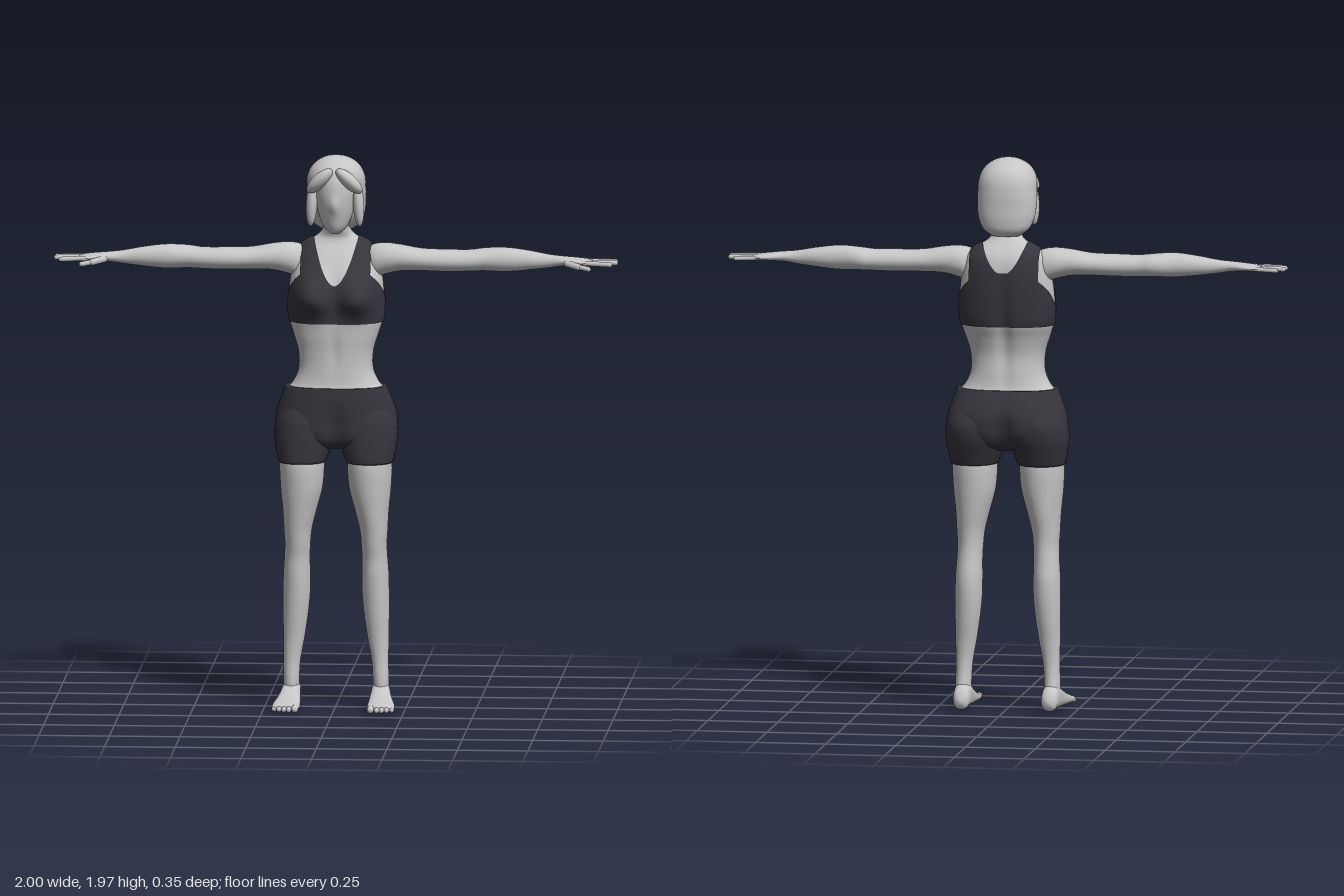
import * as THREE from 'three';
import { mergeGeometries } from 'three/addons/utils/BufferGeometryUtils.js';

const skin = new THREE.MeshStandardMaterial({ color: 0xc6c6c6 });
skin.name = 'pale grey skin';
const fabric = new THREE.MeshStandardMaterial({ color: 0x36353c, side: THREE.DoubleSide });
fabric.name = 'charcoal fabric';

// Which coordinates the two cross-section directions use for each loft axis
const AXES = { x: [0, 2, 1], y: [1, 0, 2], z: [2, 1, 0] };
const bump = (d, s) => Math.exp(-(d * d) / (2 * s * s));

// Smooth closed loft; each section is [position, aMin, aMax, bMin, bMax]
function loft(axis, sections, { power = 2, rows = 60, seg = 40, warp } = {}) {
  const [T, A, B] = AXES[axis];
  const curve = new THREE.CubicInterpolant(sections.map(s => s[0]), sections.flatMap(s => s.slice(1)), 4);
  const t0 = sections[0][0], t1 = sections[sections.length - 1][0];
  const pos = [], index = [];
  const round = c => Math.sign(c) * Math.pow(Math.abs(c), 2 / power);
  const add = (t, a, b) => {
    const p = [0, 0, 0];
    p[T] = t; p[A] = a; p[B] = b;
    if (warp) warp(p);
    pos.push(...p);
  };
  for (let i = 0; i <= rows; i++) {
    const t = t0 + (t1 - t0) * i / rows;
    const [a0, a1, b0, b1] = curve.evaluate(t);
    for (let j = 0; j < seg; j++) {
      const w = j / seg * Math.PI * 2;
      add(t, (a0 + a1) / 2 + (a1 - a0) / 2 * round(Math.cos(w)), (b0 + b1) / 2 + (b1 - b0) / 2 * round(Math.sin(w)));
    }
  }
  for (const s of [sections[0], sections[sections.length - 1]]) add(s[0], (s[1] + s[2]) / 2, (s[3] + s[4]) / 2);
  const start = (rows + 1) * seg;
  for (let j = 0; j < seg; j++) {
    const k = (j + 1) % seg;
    for (let i = 0; i < rows; i++) {
      const p = i * seg;
      index.push(p + j, p + seg + j, p + k, p + k, p + seg + j, p + seg + k);
    }
    index.push(start, j, k, start + 1, rows * seg + k, rows * seg + j);
  }
  const g = new THREE.BufferGeometry();
  g.setAttribute('position', new THREE.Float32BufferAttribute(pos, 3));
  g.setIndex(index);
  g.computeVertexNormals();
  return g;
}

// Symmetric body section: [y, halfWidth, zBack, zFront]
const sym = list => list.map(([y, w, b, f]) => [y, -w, w, b, f]);

// Thin garment: the part of a surface where field >= 0, pushed out a little
function garment(geometry, field, offset) {
  const g = geometry.toNonIndexed(), P = g.attributes.position, N = g.attributes.normal;
  const pos = [], nor = [];
  for (let i = 0; i < P.count; i += 3) {
    const tri = [0, 1, 2].map(k => {
      const p = new THREE.Vector3().fromBufferAttribute(P, i + k);
      return { p, n: new THREE.Vector3().fromBufferAttribute(N, i + k), f: field(p.x, p.y, p.z) };
    });
    const poly = [];
    tri.forEach((u, k) => {
      const v = tri[(k + 1) % 3];
      if (u.f >= 0) poly.push(u);
      if ((u.f >= 0) !== (v.f >= 0)) {
        const s = u.f / (u.f - v.f);
        poly.push({ p: u.p.clone().lerp(v.p, s), n: u.n.clone().lerp(v.n, s).normalize() });
      }
    });
    for (let k = 1; k + 1 < poly.length; k++)
      for (const q of [poly[0], poly[k], poly[k + 1]]) {
        pos.push(...q.p.clone().addScaledVector(q.n, offset).toArray());
        nor.push(...q.n.toArray());
      }
  }
  const out = new THREE.BufferGeometry();
  out.setAttribute('position', new THREE.Float32BufferAttribute(pos, 3));
  out.setAttribute('normal', new THREE.Float32BufferAttribute(nor, 3));
  return out;
}

// Rounded rod between two points, for fingers and toes
function rod(a, b, r) {
  const p = new THREE.Vector3(...a), q = new THREE.Vector3(...b), d = q.clone().sub(p);
  const g = new THREE.CapsuleGeometry(r, d.length(), 5, 12);
  g.deleteAttribute('uv');
  g.applyQuaternion(new THREE.Quaternion().setFromUnitVectors(new THREE.Vector3(0, 1, 0), d.clone().normalize()));
  return g.translate(...p.add(q).multiplyScalar(0.5).toArray());
}

function mirror(geometry) {
  const g = geometry.clone().scale(-1, 1, 1), ix = g.index.array;
  for (let i = 0; i < ix.length; i += 3) [ix[i], ix[i + 1]] = [ix[i + 1], ix[i]];
  return g;
}

export function createModel() {
  const model = new THREE.Group();
  const add = (name, g, m = skin) => {
    const mesh = new THREE.Mesh(g, m);
    mesh.name = name;
    model.add(mesh);
  };
  const pair = (name, g, m) => {
    add('left' + name, g, m);
    add('right' + name, mirror(g), m);
  };

  // Torso and neck, with bust, abdominal line and spine groove
  const torso = loft('y', sym([
    [1.06, .16, -.13, .05], [1.135, .172, -.126, .066], [1.155, .155, -.12, .062], [1.2, .134, -.116, .06],
    [1.27, .133, -.115, .062], [1.33, .15, -.13, .068], [1.38, .165, -.15, .07], [1.46, .169, -.16, .062],
    [1.53, .163, -.163, .048], [1.59, .15, -.16, .025], [1.63, .134, -.148, .002], [1.655, .11, -.13, -.015],
    [1.675, .072, -.115, -.02], [1.695, .053, -.102, -.012], [1.74, .05, -.095, .0], [1.8, .05, -.095, .0],
  ]), {
    power: 2.3, rows: 110, seg: 96, warp: p => {
      const [x, y, z] = p;
      if (z > -.03) {
        const front = Math.min(1, (z + .03) / .06);
        p[2] += front * .064 * bump(Math.abs(x) - .082, .045) * bump(y - 1.468, y > 1.468 ? .055 : .04);
        p[2] -= front * .006 * bump(x, .012) * bump(y - 1.28, .06);
      } else if (z < -.09) p[2] += .014 * bump(x, .018) * bump(y - 1.36, .14);
    },
  });
  add('torso', torso);

  // Cropped top: hem, neckline scoops and armholes
  add('croppedTop', garment(torso, (x, y, z) => {
    const ax = Math.abs(x), floor = z > -.065 ? 1.51 : 1.565;
    const neck = y < floor ? 1 : ax - .074 * Math.sqrt((y - floor) / (1.66 - floor));
    const arm = Math.max(.122 - ax, 1.44 + 1.25 * Math.abs(z + .055) - y);
    return Math.min(y - 1.376, neck, arm);
  }, .004), fabric);

  // Shorts: hips with a rear cleft, plus two short legs
  add('shortsHips', loft('y', sym([
    [.925, .1, -.09, .03], [.945, .17, -.135, .06], [.98, .212, -.165, .075], [1.02, .217, -.175, .077],
    [1.06, .21, -.173, .077], [1.1, .196, -.157, .077], [1.145, .18, -.132, .074],
  ]), {
    power: 2.3, seg: 72, rows: 40, warp: p => {
      const cleft = bump(p[0], .022) * bump(p[1] - .99, .06);
      p[2] += p[2] < -.06 ? .03 * cleft : -.02 * cleft;
    },
  }), fabric);
  pair('ShortsLeg', loft('y', [
    [.875, .036, .204, -.125, .082], [.92, .02, .213, -.143, .081], [.97, .008, .219, -.163, .078],
    [1.03, .015, .213, -.168, .07], [1.08, .04, .19, -.14, .05],
  ], { rows: 24, power: 2.2 }), fabric);

  // Legs from thigh through knee and calf to ankle
  pair('Leg', loft('y', [
    [.04, .132, .188, -.085, .005], [.1, .13, .187, -.07, .006], [.16, .126, .186, -.064, .002],
    [.24, .112, .187, -.07, .005], [.32, .1, .188, -.084, .014], [.4, .092, .188, -.094, .023],
    [.47, .091, .187, -.096, .03], [.53, .092, .183, -.088, .033], [.58, .09, .181, -.084, .042],
    [.63, .085, .184, -.087, .05], [.7, .068, .188, -.098, .062], [.78, .047, .196, -.108, .073],
    [.86, .04, .2, -.114, .078], [.92, .04, .2, -.11, .07],
  ], { rows: 80 }));

  // Feet and toes
  const foot = [loft('z', [
    [-.114, .018, .04, .148, .17], [-.105, .004, .06, .134, .182], [-.075, 0, .084, .127, .188],
    [-.03, 0, .088, .125, .192], [.01, 0, .07, .123, .198], [.05, 0, .052, .121, .206],
    [.1, 0, .036, .119, .216], [.135, .002, .027, .122, .215], [.145, .006, .022, .13, .207],
  ], { power: 2.4, rows: 36 })];
  for (let i = 0; i < 5; i++) {
    const r = i ? .0095 : .0125, x = i ? .137 + .0175 * i : .133;
    foot.push(rod([x, r + .003, .11], [x + .001, r, .162 - .0008 * i * i - (i ? .002 : 0) - (i > 3 ? .008 : 0)], r));
  }
  pair('Foot', mergeGeometries(foot));

  // Outstretched arms down to the palms
  pair('Arm', loft('x', [
    [.09, -.085, -.035, 1.575, 1.625], [.13, -.108, -.006, 1.53, 1.646], [.17, -.112, .005, 1.54, 1.652],
    [.22, -.106, .008, 1.552, 1.648], [.3, -.1, .01, 1.555, 1.635], [.4, -.095, .01, 1.553, 1.632],
    [.48, -.096, .004, 1.555, 1.632], [.52, -.101, .002, 1.556, 1.637], [.6, -.085, .002, 1.555, 1.641],
    [.68, -.075, -.005, 1.562, 1.632], [.76, -.06, -.012, 1.572, 1.618], [.8, -.062, -.004, 1.578, 1.614],
    [.84, -.074, .005, 1.58, 1.61], [.88, -.084, .01, 1.583, 1.605], [.91, -.08, .008, 1.587, 1.6],
  ], { rows: 90 }));

  // Fingers and thumb
  pair('Fingers', mergeGeometries([
    rod([.88, 1.593, -.072], [.966, 1.59, -.081], .008),
    rod([.88, 1.594, -.049], [.989, 1.592, -.054], .009),
    rod([.88, 1.594, -.024], [.991, 1.592, -.022], .009),
    rod([.88, 1.593, 0], [.972, 1.59, .011], .009),
    rod([.82, 1.59, -.006], [.862, 1.582, .019], .012),
    rod([.862, 1.582, .019], [.898, 1.577, .035], .009),
  ]));

  // Head with a small nose
  add('head', loft('y', sym([
    [1.695, .018, -.02, .045], [1.71, .036, -.05, .058], [1.75, .056, -.08, .074], [1.8, .069, -.11, .086],
    [1.85, .076, -.12, .089], [1.9, .076, -.115, .08], [1.94, .05, -.08, .05], [1.955, .02, -.05, .01],
  ]), {
    rows: 50, seg: 48, warp: p => {
      if (p[2] > 0) p[2] += .01 * bump(p[0], .011) * bump(p[1] - 1.8, .02);
    },
  }));

  // Chin-length hair and swept fringe
  add('hair', loft('y', sym([
    [1.695, .05, -.115, -.045], [1.715, .078, -.13, -.02], [1.75, .097, -.138, .01], [1.8, .105, -.14, .03],
    [1.85, .105, -.141, .055], [1.9, .1, -.134, .07], [1.935, .08, -.112, .054], [1.955, .053, -.083, .025],
    [1.965, .026, -.055, -.003], [1.968, .006, -.035, -.022],
  ]), { rows: 70, seg: 48, power: 2.2 }));
  pair('Fringe', new THREE.SphereGeometry(1, 28, 18).scale(.062, .025, .034)
    .rotateZ(-.75).rotateY(.35).translate(.052, 1.888, .064));
  pair('SideLock', new THREE.SphereGeometry(1, 24, 18).scale(.02, .08, .03)
    .rotateZ(.05).translate(.083, 1.8, .024));

  return model;
}
